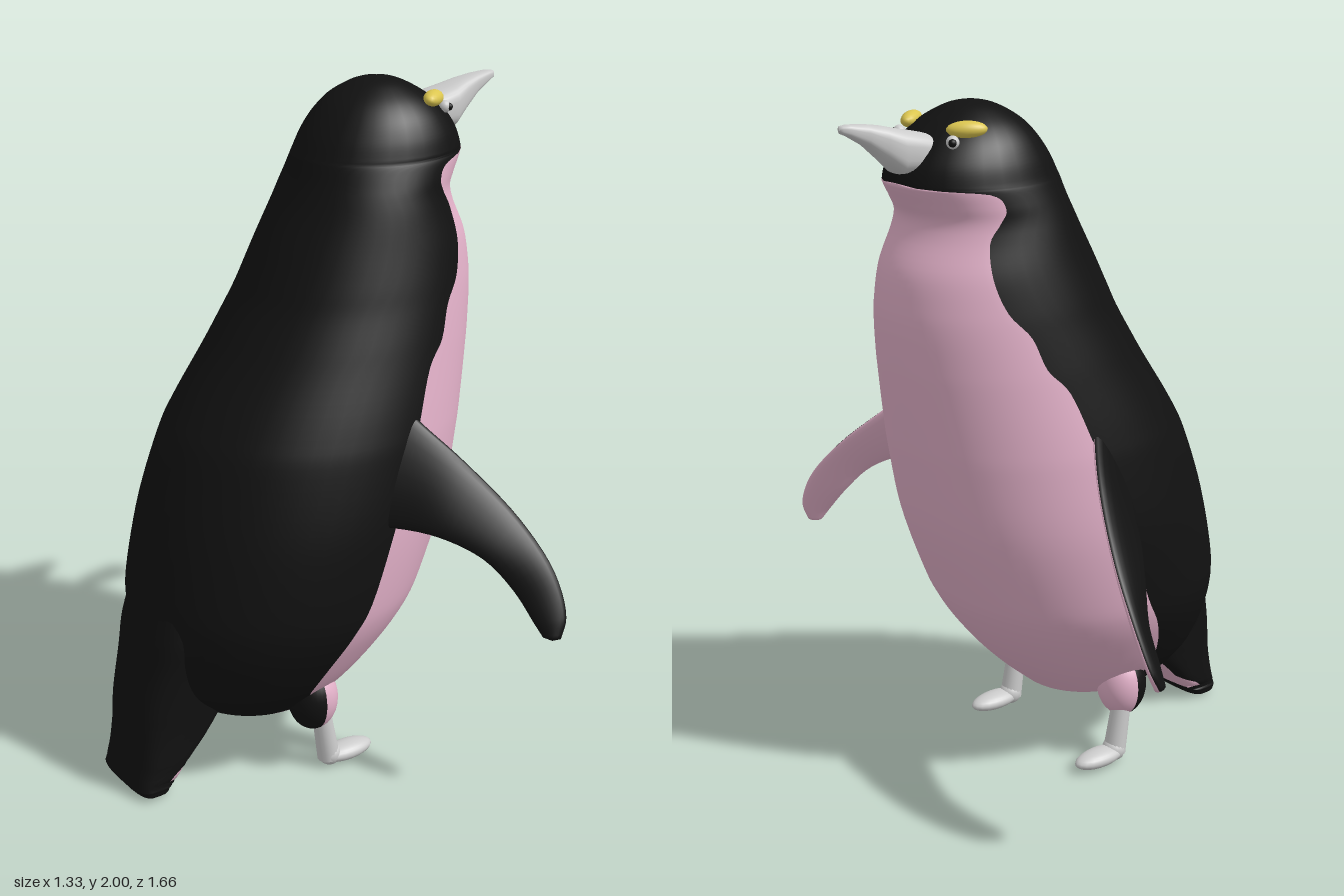
import * as THREE from 'three';

const mat = (color) => new THREE.MeshStandardMaterial({ color, roughness: 0.8 });
const BLACK = mat(0x111111), PINK = mat(0xe4b2ca), YELLOW = mat(0xdcc650), GREY = mat(0xcccccc);
const V = (x, y, z) => new THREE.Vector3(x, y, z);

function addMesh(parent, name, geometry, material) {
  const mesh = new THREE.Mesh(geometry, material);
  mesh.name = name;
  parent.add(mesh);
  return mesh;
}

// Skins closed rings; the first and second half of each ring become two meshes
// sharing one set of smooth normals.
function addSkin(parent, rings, first, second) {
  const n = rings[0].length, halves = [[], []];
  for (let i = 0; i < rings.length - 1; i++) {
    for (let j = 0; j < n; j++) {
      const k = (j + 1) % n;
      const a = i * n + j, b = a + n, c = i * n + k, d = c + n;
      halves[j < n / 2 ? 0 : 1].push(a, b, c, c, b, d);
    }
  }
  const whole = new THREE.BufferGeometry().setFromPoints(rings.flat());
  whole.setIndex([...halves[0], ...halves[1]]);
  whole.computeVertexNormals();
  [first, second].forEach(([name, material], h) => {
    const geometry = new THREE.BufferGeometry();
    geometry.setAttribute('position', whole.attributes.position);
    geometry.setAttribute('normal', whole.attributes.normal);
    geometry.setIndex(halves[h]);
    addMesh(parent, name, geometry, material);
  });
}

const signedPow = (v, p) => Math.sign(v) * Math.abs(v) ** p;

// Horizontal sections from rows of [y, back x, front x, half width, x of colour border]
function sectionRings(rows, power, steps, half = 28) {
  const outline = new THREE.CatmullRomCurve3(rows.map((r) => V(r[0], r[1], r[2])), false, 'catmullrom', 0.5);
  const extra = new THREE.CatmullRomCurve3(rows.map((r) => V(r[3], r[4], 0)), false, 'catmullrom', 0.5);
  const rings = [], count = (rows.length - 1) * steps;
  for (let i = 0; i <= count; i++) {
    const o = outline.getPoint(i / count), e = extra.getPoint(i / count);
    const cx = (o.y + o.z) / 2, rx = Math.max((o.z - o.y) / 2, 0.0005), w = Math.max(e.x, 0.0005);
    const u = THREE.MathUtils.clamp((e.y - cx) / rx, -1, 1);
    const a = Math.acos(signedPow(u, 1 / power));
    const ring = [];
    for (let j = 0; j < 2 * half; j++) {
      const t = j < half ? -a + (2 * a * j) / half
        : a + (2 * (Math.PI - a) * (j - half)) / half;
      ring.push(V(cx + rx * signedPow(Math.cos(t), power), o.x, w * signedPow(Math.sin(t), power)));
    }
    rings.push(ring);
  }
  return rings;
}

function addFlipper(parent, s) {
  const edge = (pts) => new THREE.CatmullRomCurve3(pts.map(([x, y, z]) => V(x, y, z * s)));
  const lead = edge([[0.06, 1.19, 0.31], [0.125, 1.1, 0.385], [0.2, 1.0, 0.49], [0.28, 0.86, 0.64],
    [0.315, 0.73, 0.755], [0.31, 0.62, 0.815], [0.285, 0.565, 0.825]]);
  const trail = edge([[-0.1, 0.82, 0.33], [0, 0.825, 0.425], [0.08, 0.815, 0.53], [0.16, 0.765, 0.63],
    [0.215, 0.68, 0.7], [0.238, 0.6, 0.765], [0.25, 0.565, 0.79]]);
  const rings = [], count = 30, sides = 20;
  for (let i = 0; i <= count; i++) {
    const u = i / count, A = lead.getPoint(u), B = trail.getPoint(u);
    const centre = A.clone().add(B).multiplyScalar(0.5);
    const chord = B.clone().sub(A).multiplyScalar(0.5);
    const span = lead.getTangent(u).add(trail.getTangent(u));
    const up = chord.clone().cross(span).normalize().multiplyScalar(0.024 - 0.008 * u);
    const ring = [];
    for (let j = 0; j < sides; j++) {
      const t = (j / sides) * Math.PI * 2;
      ring.push(centre.clone().addScaledVector(chord, Math.cos(t)).addScaledVector(up, Math.sin(t)));
    }
    rings.push(ring);
    if (i === count) rings.push(ring.map(() => centre.clone().addScaledVector(span, 0.004)));
  }
  const outer = ['flipperOuter', BLACK], inner = ['flipperInner', PINK];
  addSkin(parent, rings, s > 0 ? outer : inner, s > 0 ? inner : outer);
}

function addLeg(parent, s) {
  // Thigh bulge, dark behind and pale in front
  for (const [name, material, start] of [['thighBack', BLACK, -Math.PI / 2], ['thighFront', PINK, Math.PI / 2]]) {
    const thigh = addMesh(parent, name, new THREE.SphereGeometry(1, 16, 16, start, Math.PI), material);
    thigh.scale.set(0.075, 0.1, 0.075);
    thigh.position.set(-0.135, 0.235, 0.228 * s);
  }
  const shin = addMesh(parent, 'shin', new THREE.CylinderGeometry(0.028, 0.034, 0.18, 16), GREY);
  shin.position.set(-0.106, 0.115, 0.248 * s);
  shin.rotation.z = 0.17;
  const heel = addMesh(parent, 'heel', new THREE.SphereGeometry(0.036, 16, 12), GREY);
  heel.position.set(-0.088, 0.036, 0.248 * s);
  const foot = addMesh(parent, 'foot', new THREE.SphereGeometry(1, 20, 14), GREY);
  foot.scale.set(0.09, 0.027, 0.042);
  foot.position.set(-0.028, 0.029, 0.25 * s);
}

function addEye(parent, s) {
  const brow = addMesh(parent, 'browPatch', new THREE.SphereGeometry(1, 20, 14), YELLOW);
  brow.scale.set(0.055, 0.022, 0.026);
  brow.position.set(0.348, 1.942, 0.122 * s);
  brow.rotation.set(0.3 * s, 0.62 * s, -0.2);
  const eye = addMesh(parent, 'eye', new THREE.SphereGeometry(0.018, 16, 12), GREY);
  eye.position.set(0.392, 1.912, 0.118 * s);
  const pupil = addMesh(parent, 'pupil', new THREE.SphereGeometry(0.011, 12, 10), BLACK);
  pupil.position.set(0.4, 1.912, 0.128 * s);
}

function addBeak(parent) {
  // Stations of [x, bottom y, top y, half width]
  const rows = [[0.38, 1.83, 1.92, 0.07], [0.43, 1.825, 1.932, 0.072], [0.495, 1.826, 1.946, 0.064],
    [0.54, 1.866, 1.957, 0.048], [0.59, 1.908, 1.965, 0.033], [0.64, 1.937, 1.969, 0.021],
    [0.66, 1.946, 1.967, 0.014], [0.665, 1.956, 1.958, 0.001]];
  const rings = rows.map(([x, lo, hi, w]) => Array.from({ length: 32 }, (_, j) => {
    const t = (j / 32) * Math.PI * 2;
    return V(x, (lo + hi) / 2 + ((hi - lo) / 2) * signedPow(Math.cos(t), 0.7), -w * signedPow(Math.sin(t), 0.7));
  }));
  addSkin(parent, rings, ['beakRight', GREY], ['beakLeft', GREY]);
}

export function createModel() {
  const model = new THREE.Group();
  model.name = 'penguin';
  const part = (name) => {
    const g = new THREE.Group();
    g.name = name;
    model.add(g);
    return g;
  };

  // Body and head in one skin
  const body = [
    [0.16, -0.2, -0.19, 0.002, -0.3], [0.165, -0.3, -0.07, 0.1, -0.4], [0.19, -0.38, 0.0, 0.18, -0.4],
    [0.215, -0.43, 0.035, 0.22, -0.17], [0.3, -0.52, 0.13, 0.295, -0.185], [0.4, -0.56, 0.22, 0.355, -0.16],
    [0.5, -0.57, 0.29, 0.4, -0.115], [0.6, -0.565, 0.34, 0.418, -0.06], [0.8, -0.52, 0.415, 0.422, 0.01],
    [1.0, -0.45, 0.46, 0.402, 0.09], [1.1, -0.395, 0.477, 0.385, 0.125], [1.24, -0.3, 0.497, 0.355, 0.18],
    [1.31, -0.255, 0.505, 0.34, 0.24], [1.4, -0.2, 0.512, 0.32, 0.275], [1.47, -0.165, 0.51, 0.305, 0.33],
    [1.56, -0.12, 0.495, 0.284, 0.355], [1.65, -0.07, 0.453, 0.262, 0.345], [1.7, -0.045, 0.443, 0.249, 0.315],
    [1.74, -0.028, 0.462, 0.239, 0.3], [1.78, -0.014, 0.487, 0.228, 0.34], [1.8, -0.006, 0.492, 0.222, 0.51],
    [1.85, 0.02, 0.475, 0.208, 0.6], [1.9, 0.056, 0.437, 0.183, 0.6], [1.94, 0.095, 0.392, 0.147, 0.6],
    [1.97, 0.14, 0.342, 0.102, 0.6], [1.99, 0.185, 0.296, 0.056, 0.6], [2.0, 0.238, 0.242, 0.002, 0.6]];
  addSkin(part('body'), sectionRings(body, 1, 5), ['belly', PINK], ['back', BLACK]);

  // Tail wedge with a pale underside panel
  const tail = [
    [0.005, -0.61, -0.609, 0.001, 0], [0.007, -0.65, -0.565, 0.115, 0], [0.025, -0.665, -0.55, 0.13, 0],
    [0.04, -0.663, -0.535, 0.132, -0.545], [0.1, -0.652, -0.475, 0.133, -0.487], [0.175, -0.645, -0.4, 0.134, -0.412],
    [0.27, -0.638, -0.34, 0.14, -0.3], [0.4, -0.607, -0.32, 0.155, 0], [0.5, -0.582, -0.32, 0.17, 0],
    [0.62, -0.54, -0.34, 0.16, 0]];
  addSkin(part('tail'), sectionRings(tail, 0.55, 4), ['tailUnderside', PINK], ['tailTop', BLACK]);

  addBeak(part('beak'));
  for (const s of [1, -1]) {
    const side = s > 0 ? 'PlusZ' : 'MinusZ';
    addFlipper(part('flipper' + side), s);
    addLeg(part('leg' + side), s);
    addEye(part('eye' + side), s);
  }
  return model;
}
